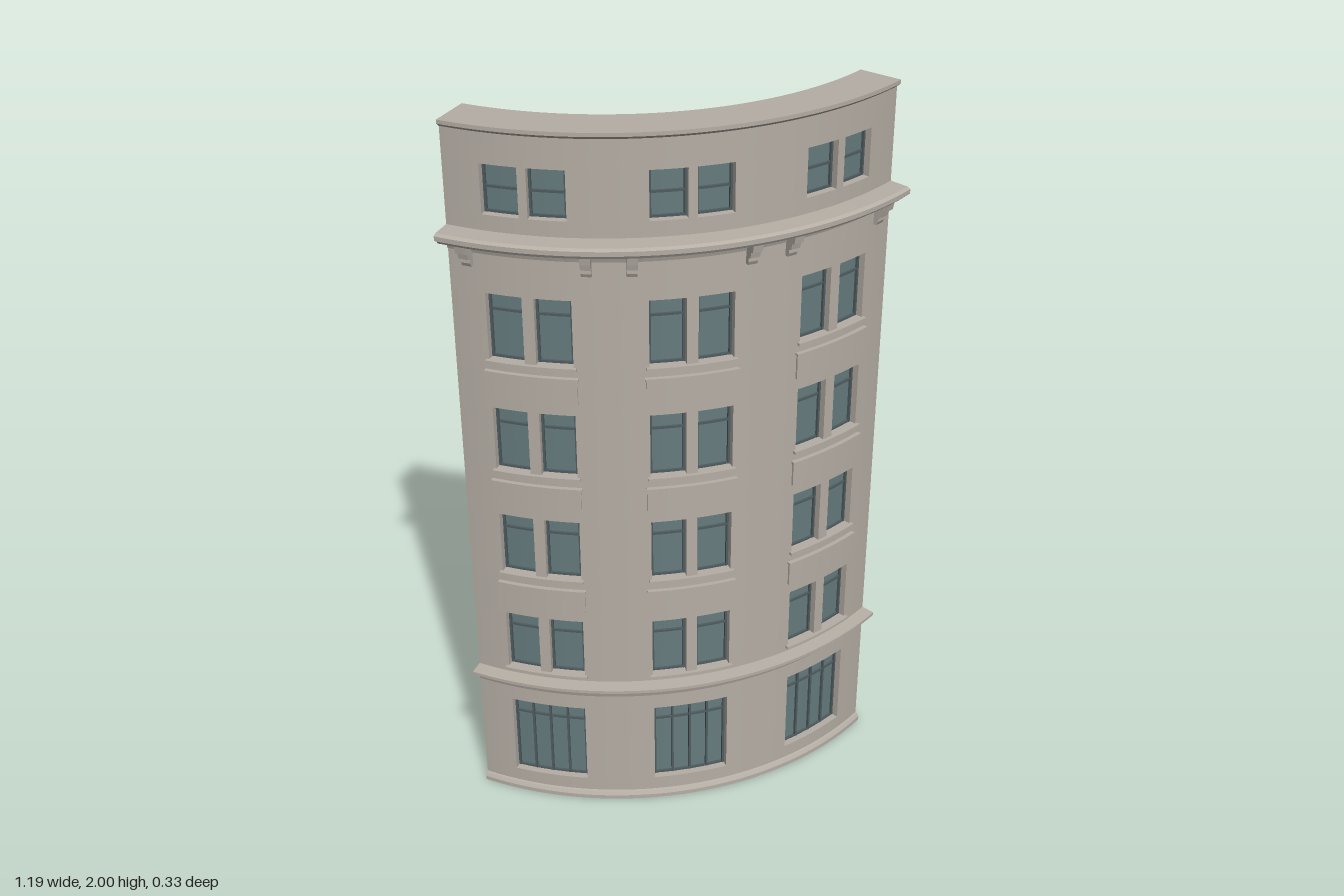
import * as THREE from 'three';
import { mergeGeometries, toCreasedNormals } from 'three/addons/utils/BufferGeometryUtils.js';

const CENTRE_Z = -0.792;              // axis of the curved facade
const HALF = 38.3;                    // half angle of the block, degrees
const BAYS = [-25.55, 0, 25.55];      // bay centres, degrees
const R_IN = 0.792, R_GLASS = 0.867, R_WALL = 0.898;

// Sweeps a closed (radius, height) profile around the axis between two angles.
function sweep(profile, a0, a1) {
  const shape = new THREE.Shape(profile.map(([r, y]) => new THREE.Vector2(r, y)));
  const steps = Math.max(1, Math.ceil((a1 - a0) / 1.6));
  const geo = new THREE.ExtrudeGeometry(shape, { depth: 1, steps, bevelEnabled: false });
  const p = geo.attributes.position;
  for (let i = 0; i < p.count; i++) {
    const r = p.getX(i);
    const a = THREE.MathUtils.degToRad(a1 - p.getZ(i) * (a1 - a0));
    p.setXYZ(i, r * Math.sin(a), p.getY(i), r * Math.cos(a) + CENTRE_Z);
  }
  geo.deleteAttribute('uv');
  return toCreasedNormals(geo, 0.35);
}

// Curved block with a rectangular section.
const block = (r0, r1, y0, y1, a0, a1) =>
  sweep([[r0, y0], [r1, y0], [r1, y1], [r0, y1]], a0, a1);

export function createModel() {
  const stone = new THREE.MeshStandardMaterial({ color: 0xb5aea5 });
  stone.name = 'stone';
  const glass = new THREE.MeshStandardMaterial({ color: 0x667b7e });
  glass.name = 'glass';
  const frame = new THREE.MeshStandardMaterial({ color: 0x4f5c5f });
  frame.name = 'window frame';

  const group = new THREE.Group();
  group.name = 'curvedFacade';
  const add = (name, geos, material) => {
    const mesh = new THREE.Mesh(mergeGeometries(geos), material);
    mesh.name = name;
    group.add(mesh);
  };

  // Window rows: height range, transom height, openings per bay, panes per opening
  const pair = [[-6.85, -0.95], [0.95, 6.85]];
  const rows = [
    { y0: 0.065, y1: 0.318, transom: 0.265, spans: [[-6.65, 6.65]], panes: 4 },
    ...[0.435, 0.753, 1.072, 1.39].map((y) =>
      ({ y0: y, y1: y + 0.181, transom: y + 0.132, spans: pair, panes: 1, sill: true })),
    { y0: 1.777, y1: 1.904, transom: 1.842, spans: [[-6.6, -0.7], [0.7, 6.6]], panes: 1 },
  ];

  // Solid backing wall
  add('backingWall', [block(R_IN, R_GLASS, 0, 2, -HALF, HALF)], stone);

  // Outer wall, built as full courses and piers between the openings
  const wall = [];
  let y = 0;
  for (const row of rows) {
    wall.push(block(R_GLASS, R_WALL, y, row.y0, -HALF, HALF));
    let a = -HALF;
    for (const bay of BAYS) {
      for (const [s0, s1] of row.spans) {
        wall.push(block(R_GLASS, R_WALL, row.y0, row.y1, a, bay + s0));
        a = bay + s1;
      }
    }
    wall.push(block(R_GLASS, R_WALL, row.y0, row.y1, a, HALF));
    y = row.y1;
  }
  wall.push(block(R_GLASS, R_WALL, y, 2, -HALF, HALF));
  add('outerWall', wall, stone);

  // Glass, frames, transoms and mullions
  const panes = [], bars = [], sills = [];
  const rf = R_GLASS + 0.012, w = 0.006, wa = 0.4;
  for (const row of rows) {
    for (const bay of BAYS) {
      for (const [s0, s1] of row.spans) {
        const a0 = bay + s0, a1 = bay + s1;
        panes.push(block(R_GLASS, R_GLASS + 0.006, row.y0, row.y1, a0, a1));
        for (const [b0, b1] of [[row.y0, row.y0 + w], [row.y1 - w, row.y1],
          [row.transom - w / 2, row.transom + w / 2]]) {
          bars.push(block(R_GLASS, rf, b0, b1, a0, a1));
        }
        for (let i = 0; i <= row.panes; i++) {
          const c = a0 + wa / 2 + (a1 - a0 - wa) * i / row.panes;
          bars.push(block(R_GLASS, rf + 0.001, row.y0, row.y1, c - wa / 2, c + wa / 2));
        }
      }
      if (row.sill) {
        sills.push(block(R_WALL - 0.01, R_WALL + 0.01, row.y0 - 0.008, row.y0, bay - 7.3, bay + 7.3));
      }
    }
  }
  add('windowGlass', panes, glass);
  add('windowFrames', bars, frame);
  add('windowSills', sills, stone);

  // Raised panels with a small cap below the upper windows
  const panels = [];
  for (const top of [0.722, 1.042, 1.362]) {
    for (const bay of BAYS) {
      panels.push(block(R_WALL - 0.01, R_WALL + 0.006, top - 0.075, top - 0.006, bay - 7.4, bay + 7.4));
      panels.push(block(R_WALL - 0.01, R_WALL + 0.012, top - 0.006, top, bay - 7.6, bay + 7.6));
    }
  }
  add('spandrelPanels', panels, stone);

  // Main cornice
  add('cornice', [sweep([
    [0.88, 1.675], [0.9, 1.675], [0.905, 1.69], [0.92, 1.7], [0.942, 1.704],
    [0.947, 1.712], [0.956, 1.716], [0.956, 1.728], [0.947, 1.733], [0.88, 1.737],
  ], -HALF, HALF)], stone);

  // Stepped scroll brackets under the cornice
  const brackets = [];
  for (const bay of BAYS) {
    for (const side of [-1, 1]) {
      const c = bay + side * 9.35;
      brackets.push(sweep([
        [0.885, 1.64], [0.907, 1.64], [0.912, 1.65], [0.912, 1.66], [0.922, 1.664],
        [0.926, 1.68], [0.936, 1.684], [0.94, 1.706], [0.885, 1.706],
      ], c - 0.8, c + 0.8));
    }
  }
  add('corniceBrackets', brackets, stone);

  // Band above the ground floor
  add('stringCourse', [sweep([
    [0.88, 0.365], [0.9, 0.365], [0.905, 0.382], [0.916, 0.394], [0.928, 0.398],
    [0.935, 0.403], [0.935, 0.412], [0.88, 0.418],
  ], -HALF, HALF)], stone);

  // Plinth at the foot and lip at the roof edge
  add('plinth', [sweep([
    [0.88, 0], [0.909, 0], [0.909, 0.012], [0.903, 0.022], [0.88, 0.03],
  ], -HALF, HALF)], stone);
  add('parapetLip', [sweep([
    [0.88, 1.978], [0.899, 1.982], [0.908, 1.99], [0.908, 2], [0.88, 2],
  ], -HALF, HALF)], stone);

  return group;
}
